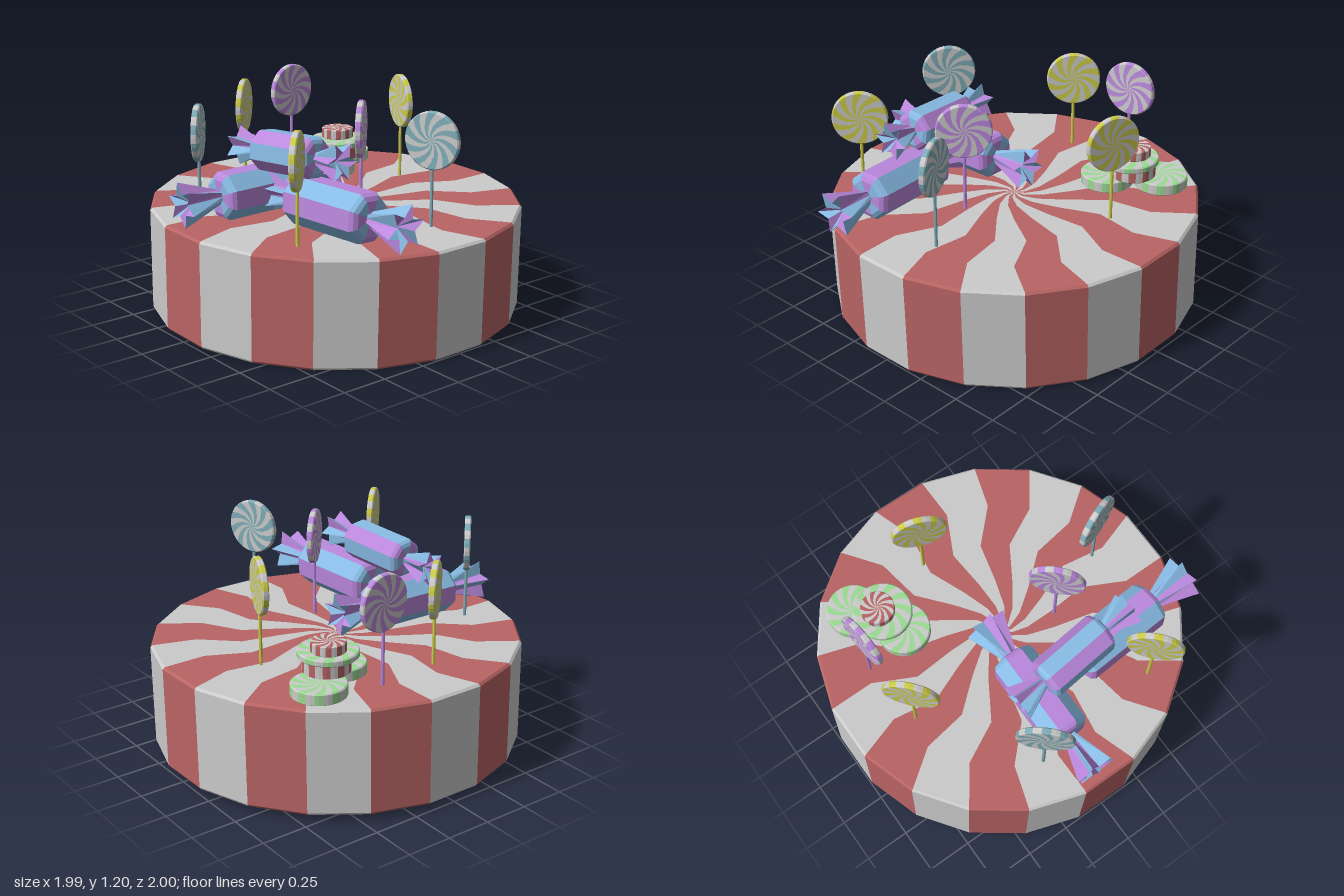
import * as THREE from 'three';

const GREY = 0xcccccc, RED = 0xb96464, BLUE = 0x88bbe4, PURPLE = 0xbb88dd,
  GREEN = 0x9cdb94, YELLOW = 0xcccc4a, TEAL = 0x7fadb8;
const RAD = Math.PI / 180;

const material = (color) => new THREE.MeshStandardMaterial({
  color, flatShading: true, side: THREE.DoubleSide });

// Striped solid of revolution about y. Each ring is [radius, y, twist in degrees, pleat];
// sectors alternate between the two colours, pleat shrinks every other corner.
function striped(name, colors, sectors, sub, rings) {
  const group = new THREE.Group();
  group.name = name;
  const n = sectors * sub;
  const point = ([r, y, twist = 0, pleat = 1], i) => {
    const t = ((i / sub - 0.5) / sectors) * 2 * Math.PI + twist * RAD;
    const k = i % 2 ? r * pleat : r;
    return [k * Math.sin(t), y, k * Math.cos(t)];
  };
  colors.forEach((color, c) => {
    const pos = [];
    for (let i = 0; i < n; i++) {
      if (Math.floor(i / sub) % 2 !== c) continue;
      for (let k = 0; k < rings.length - 1; k++) {
        const a = point(rings[k], i), b = point(rings[k + 1], i);
        const e = point(rings[k + 1], i + 1), d = point(rings[k], i + 1);
        if (rings[k + 1][0] > 0) pos.push(...a, ...b, ...e);
        if (rings[k][0] > 0) pos.push(...a, ...e, ...d);
      }
    }
    const geo = new THREE.BufferGeometry();
    geo.setAttribute('position', new THREE.Float32BufferAttribute(pos, 3));
    geo.computeVertexNormals();
    const mesh = new THREE.Mesh(geo, material(color));
    mesh.name = name + (c ? 'StripeB' : 'StripeA');
    group.add(mesh);
  });
  return group;
}

// Round sweet with pinwheel stripes on both faces
function swirlDisc(name, color, r, h) {
  const face = [[0, 55], [0.25, 38], [0.5, 22], [0.75, 9], [0.96, 0]];
  const top = face.map(([f, t]) => [f * r, h / 2, t]);
  const bottom = face.map(([f, t]) => [f * r, -h / 2, t]).reverse();
  const edge = [[r, h / 2 - r * 0.04, 0], [r, -h / 2 + r * 0.04, 0]];
  return striped(name, [color, GREY], 20, 2, [...top, ...edge, ...bottom]);
}

function lollipop(color, x, y, z, dx, dz) {
  const group = new THREE.Group();
  group.name = 'lollipop';
  const disc = swirlDisc('lollipopDisc', color, 0.151, 0.034);
  disc.rotation.x = Math.PI / 2;
  disc.position.y = y;
  const length = y - 0.14 - 0.57;
  const stick = new THREE.Mesh(new THREE.CylinderGeometry(0.009, 0.009, length, 8), material(color));
  stick.name = 'lollipopStick';
  stick.position.y = 0.57 + length / 2;
  group.add(disc, stick);
  group.position.set(x, 0, z);
  group.rotation.y = Math.atan2(-dz, dx);
  return group;
}

// Wrapped sweet lying along the given direction: faceted body and two pleated twists
function wrappedCandy(pos, dir, length, radius, fan, roll) {
  const group = new THREE.Group();
  group.name = 'wrappedCandy';
  const h = length / 2, r = radius / Math.cos(Math.PI / 8), c = radius * 0.26;
  const body = striped('candyBody', [PURPLE, BLUE], 8, 1, [
    [0, h], [r * 0.72, h], [r * 0.9, h - c * 0.35], [r, h - c],
    [r, -h + c], [r * 0.9, -h + c * 0.35], [r * 0.72, -h], [0, -h]]);
  group.add(body);
  for (const s of [1, -1]) {
    const twist = striped('candyTwist', [BLUE, PURPLE], 12, 1, [
      [0, fan * 0.72], [radius, fan, 0, 0.5], [radius * 0.3, 0, 0, 0.8]]);
    twist.position.y = s * (h - 0.01);
    if (s < 0) twist.rotation.x = Math.PI;
    group.add(twist);
  }
  const axis = new THREE.Vector3(...dir).normalize();
  group.quaternion.setFromUnitVectors(new THREE.Vector3(0, 1, 0), axis);
  group.rotateY(roll * RAD);
  group.position.set(...pos);
  return group;
}

export function createModel() {
  const model = new THREE.Group();
  model.name = 'candyPlatform';

  // Slightly tilted striped drum with a small bevelled rim
  const base = new THREE.Group();
  base.name = 'base';
  const R = 1.008, H = 0.574;
  base.add(striped('drum', [GREY, RED], 20, 1, [
    [0, H, -20], [0.06, H, -32], [0.15, H, -16], [0.3, H, -3], [0.52, H, 4],
    [0.76, H, -3], [R - 0.012, H, 0], [R, H - 0.012, 0], [R, 0.012, 0], [R - 0.008, 0, 0]]));
  const underside = new THREE.Mesh(new THREE.CircleGeometry(R - 0.008, 20, 9 * RAD), material(GREY));
  underside.name = 'underside';
  underside.rotation.x = Math.PI / 2;
  base.add(underside);
  base.rotation.set(0.018, 0, 0.003);
  base.position.y = 0.02;
  model.add(base);

  // Lollipops: colour, disc centre, direction of the disc's plane in x and z
  const lollipops = [
    [YELLOW, -0.14, 1.015, -0.645, 44, -40],
    [PURPLE, 0.23, 1.048, -0.69, 57, -6],
    [YELLOW, 0.57, 1.035, -0.11, 20, -54],
    [TEAL, -0.725, 1.025, -0.23, 40, -44],
    [YELLOW, -0.655, 1.015, 0.52, 44, -41],
    [PURPLE, -0.08, 1.048, 0.315, 42, -40],
    [TEAL, 0.075, 1.035, 0.69, 20, 53]];
  for (const l of lollipops) model.add(lollipop(...l));

  // Wrapped candies, one resting on the other two
  model.add(wrappedCandy([-0.455, 0.718, -0.06], [1, 0.015, 0], 0.53, 0.12, 0.24, 0));
  model.add(wrappedCandy([-0.395, 0.72, 0.48], [0.07, 0.01, 1], 0.54, 0.125, 0.245, 0));
  model.add(wrappedCandy([-0.432, 0.945, 0.165], [0.1, 0.06, 1], 0.42, 0.104, 0.185, 45));

  // Stack of mints: colour, radius, height, position
  const mints = [
    [GREEN, 0.145, 0.065, 0.3, 0.632, -0.42],
    [GREEN, 0.145, 0.065, 0.545, 0.638, -0.585],
    [RED, 0.125, 0.075, 0.425, 0.703, -0.485],
    [GREEN, 0.16, 0.036, 0.408, 0.758, -0.475],
    [RED, 0.092, 0.055, 0.42, 0.803, -0.495]];
  for (const [color, r, h, x, y, z] of mints) {
    const mint = swirlDisc('mint', color, r, h);
    mint.position.set(x, y, z);
    model.add(mint);
  }
  return model;
}
